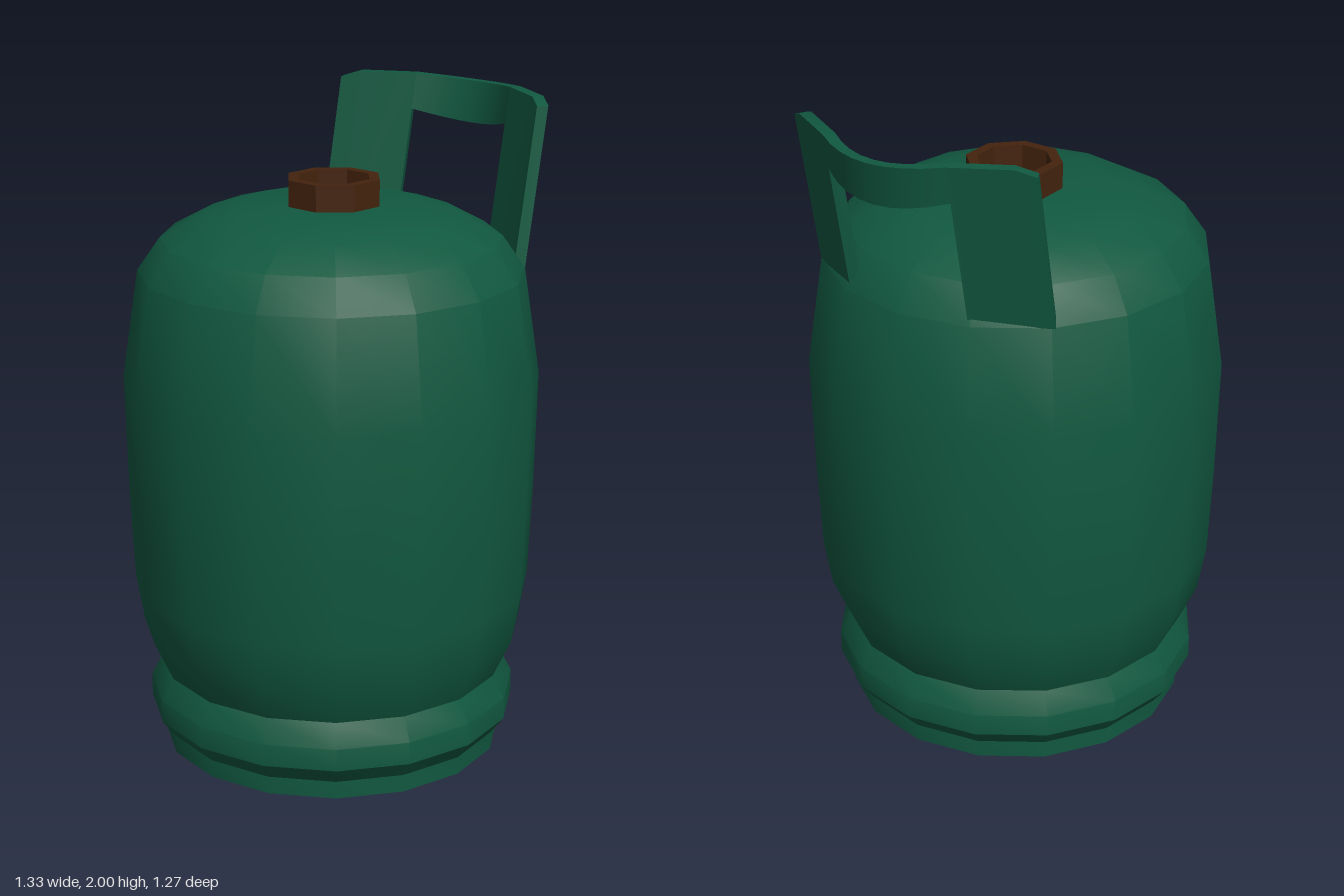
import * as THREE from 'three';
import { toCreasedNormals } from 'three/addons/utils/BufferGeometryUtils.js';

const AXIS_X = -0.035; // the tank axis sits slightly off centre to balance the handle

function material(name, color) {
  const m = new THREE.MeshStandardMaterial({ color });
  m.name = name;
  return m;
}

export function createModel() {
  const green = material('green paint', 0x115840);
  const brown = material('brown valve', 0x44230e);
  const grey = material('dark grey metal', 0x4a4a4a);
  const model = new THREE.Group();
  model.name = 'gasBottle';

  function add(name, geometry, mat, x = 0, y = 0) {
    const mesh = new THREE.Mesh(geometry, mat);
    mesh.name = name;
    mesh.position.set(x, y, 0);
    model.add(mesh);
    return mesh;
  }

  // Turned part from [radius, height] pairs, creased only at sharp bends
  function turned(name, profile, mat, sides = 16, crease = 0.52) {
    const points = profile.map(([r, y]) => new THREE.Vector2(r, y));
    return add(name, toCreasedNormals(new THREE.LatheGeometry(points, sides), crease), mat, AXIS_X);
  }

  // Slab following sections [z, outer x at the top, bottom y, top y], leaning outwards
  function slab(name, sections) {
    const thick = 0.036, lean = 0.19;
    const rings = sections.map(([z, x, y0, y1]) => {
      const nx = 0.88 * thick, nz = Math.sign(z) * Math.min(1, Math.abs(z) / 0.2) * 0.5 * thick;
      const at = (y, inner) => [x - lean * (2 - y) - inner * nx, y, z - inner * nz];
      return [at(y0, 0), at(y1, 0), at(y1, 1), at(y0, 1)];
    });
    const pos = [];
    const quad = (a, b, c, d) => pos.push(...a, ...b, ...c, ...a, ...c, ...d);
    for (let i = 0; i < rings.length - 1; i++) {
      for (let j = 0; j < 4; j++) {
        const k = (j + 1) % 4;
        quad(rings[i][j], rings[i + 1][j], rings[i + 1][k], rings[i][k]);
      }
    }
    const a = rings[0], b = rings[rings.length - 1];
    quad(a[0], a[1], a[2], a[3]);
    quad(b[3], b[2], b[1], b[0]);
    const geometry = new THREE.BufferGeometry();
    geometry.setAttribute('position', new THREE.Float32BufferAttribute(pos, 3));
    add(name, toCreasedNormals(geometry, 0.5), green);
  }

  // Tank with rounded shoulders
  turned('tank', [
    [0.535, 0.25], [0.59, 0.37], [0.615, 0.52], [0.627, 0.8], [0.635, 1.17],
    [0.585, 1.5], [0.515, 1.6], [0.385, 1.67], [0.275, 1.7], [0, 1.7],
  ], green);

  // Hollow foot ring
  turned('footRing', [
    [0.49, 0.22], [0.49, 0], [0.53, 0], [0.53, 0.055], [0.572, 0.11], [0.572, 0.18], [0.535, 0.25],
  ], green);

  // Rounded underside with a bare metal plate
  turned('underside', [[0.34, 0.09], [0.43, 0.13], [0.495, 0.21]], green);
  turned('bottomPlate', [[0, 0.09], [0.34, 0.09]], grey);

  // Octagonal valve collar
  const k = 1 / Math.cos(Math.PI / 8);
  const collar = turned('valveCollar', [
    [0.104 * k, 1.7], [0.135 * k, 1.7], [0.135 * k, 1.78], [0.104 * k, 1.78], [0.104 * k, 1.7],
  ], brown, 8, 0.1);
  collar.rotation.y = Math.PI / 8;
  collar.position.x = -0.025;

  // Faceted valve core inside the collar
  const coreGeometry = new THREE.CylinderGeometry(0.03, 0.15, 0.045, 4).toNonIndexed();
  coreGeometry.computeVertexNormals();
  const core = add('valveCore', coreGeometry, grey, -0.025, 1.718);
  core.scale.set(0.7, 1, 0.7);
  core.rotation.y = 0.43;
  const floor = add('valveFloor', new THREE.CylinderGeometry(0.105 * k, 0.105 * k, 0.008, 8), grey, -0.025, 1.702);
  floor.rotation.y = Math.PI / 8;

  // Handle legs, running from the outer edge towards the middle
  slab('leftSideLeg', [[0.415, 0.472, 1.5, 1.98], [0.37, 0.5, 1.5, 2], [0.21, 0.59, 1.5, 2]]);
  slab('rightSideLeg', [[-0.21, 0.59, 1.5, 2], [-0.37, 0.5, 1.5, 2], [-0.425, 0.472, 1.5, 1.98]]);

  // Bowed grip joining the legs
  const grip = [];
  for (let i = 0; i <= 8; i++) {
    const t = 1 - i / 4;
    const bow = 1 - t * t;
    grip.push([0.21 * t, 0.59 + 0.075 * bow, 1.89 - 0.03 * bow, 2 - 0.012 * bow]);
  }
  slab('grip', grip);

  return model;
}
